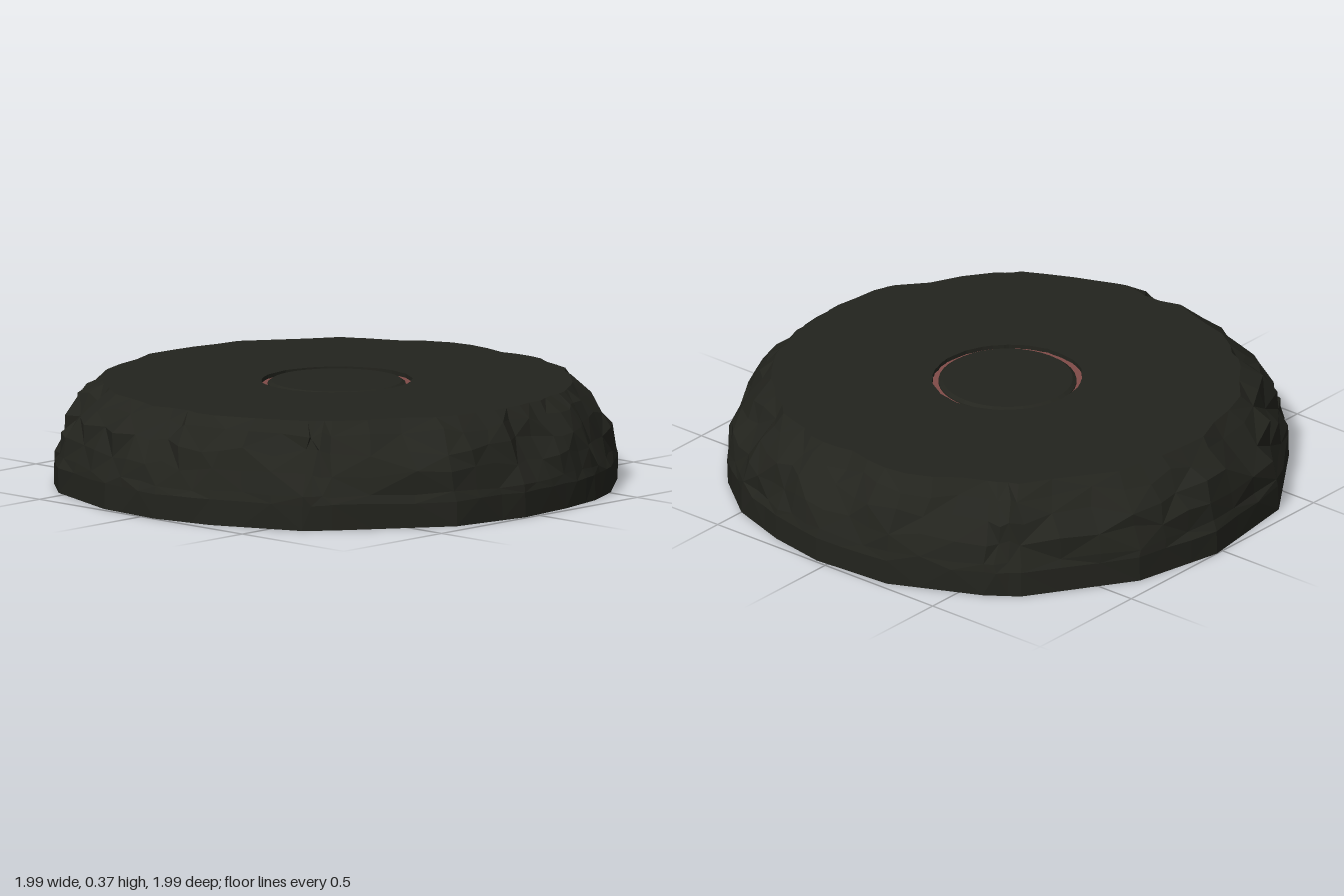
import * as THREE from 'three';

// Rim outline as x, z pairs, going round from the back
const OUTLINE = [
  [0.03, -1], [0.37, -0.93], [0.74, -0.69], [0.82, -0.58], [0.97, -0.26], [0.99, 0.05],
  [0.95, 0.27], [0.87, 0.5], [0.72, 0.69], [0.51, 0.86], [0.36, 0.93], [0.17, 0.97],
  [-0.06, 0.99], [-0.36, 0.94], [-0.73, 0.68], [-0.81, 0.61], [-0.95, 0.29], [-0.995, 0.06],
  [-0.98, -0.2], [-0.86, -0.54], [-0.73, -0.69], [-0.38, -0.94],
];
const STEPS = 3; // columns per outline edge
const TOP = 0.365;

// Rocky wall levels: height, share of the rim radius, roughness
const LEVELS = [
  [0, 1, 0], [0.09, 1, 0.004], [0.12, 0.99, 0.008], [0.19, 0.972, 0.014],
  [0.26, 0.945, 0.018], [0.32, 0.895, 0.016], [TOP, 0.835, 0.01],
];
// Chips knocked out of the wall: angle, height, width, depth
const CHIPS = [
  [0.03, 0.3, 0.13, 0.06], [0.62, 0.27, 0.16, 0.04], [1.1, 0.24, 0.12, 0.035],
  [1.55, 0.25, 0.12, 0.06], [2.1, 0.31, 0.16, 0.04], [2.5, 0.26, 0.18, 0.05],
  [3.12, 0.3, 0.12, 0.05], [3.75, 0.28, 0.15, 0.04], [4.45, 0.3, 0.2, 0.04],
  [5.3, 0.28, 0.15, 0.045], [5.75, 0.3, 0.12, 0.04],
];

function seeded(seed) {
  return () => {
    seed = (seed * 16807) % 2147483647;
    return seed / 2147483647;
  };
}

// Joins closed rings of equal length, starting at the bottom and ending at the top
function skin(rings) {
  const n = rings[0].length;
  const index = [];
  for (let j = 0; j < rings.length - 1; j++) {
    for (let i = 0; i < n; i++) {
      const a = j * n + i, b = j * n + (i + 1) % n, c = a + n, d = b + n;
      if ((i + j) % 2) index.push(a, c, b, b, c, d);
      else index.push(a, c, d, a, d, b);
    }
  }
  const geometry = new THREE.BufferGeometry();
  geometry.setAttribute('position', new THREE.Float32BufferAttribute(rings.flat(2), 3));
  geometry.setIndex(index);
  geometry.computeVertexNormals();
  return geometry;
}

function rockGeometry() {
  const rand = seeded(4271);
  const jitter = (size) => (rand() * 2 - 1) * size;

  // Columns round the rim
  const columns = [];
  OUTLINE.forEach(([x, z], i) => {
    const [nx, nz] = OUTLINE[(i + 1) % OUTLINE.length];
    for (let s = 0; s < STEPS; s++) {
      const px = THREE.MathUtils.lerp(x, nx, s / STEPS);
      const pz = THREE.MathUtils.lerp(z, nz, s / STEPS);
      columns.push({ angle: Math.atan2(pz, px), radius: Math.hypot(px, pz) });
    }
  });
  const ring = (place) => columns.map((column) => {
    const [r, y, angle = column.angle] = place(column);
    return [r * Math.cos(angle), y, r * Math.sin(angle)];
  });

  // Underside, then the chipped wall
  const rings = [ring(() => [0, 0])];
  for (const [height, share, rough] of LEVELS) {
    rings.push(ring(({ angle, radius }) => {
      let r = THREE.MathUtils.lerp(share, share * radius, height === TOP ? 0.4 : 1) + jitter(rough);
      for (const [at, chipY, width, depth] of CHIPS) {
        const turn = Math.atan2(Math.sin(angle - at), Math.cos(angle - at)) / width;
        const rise = (height - chipY) / 0.1;
        r -= depth * Math.max(0, 1 - turn * turn - rise * rise);
      }
      const inside = height > 0 && height < TOP;
      const y = height + (inside ? jitter(rough * 0.9) : 0);
      return [r, y, angle + (inside ? jitter(rough) : 0)];
    }));
  }

  // Flat top, ragged lip and the groove floor
  rings.push(ring(() => [0.8, TOP]));
  rings.push(ring(() => [0.29, TOP]));
  const lip = columns.map(({ angle }) => 0.262 + 0.007 * Math.sin(angle * 2 + 0.8) + jitter(0.003));
  const lipRing = (y) => columns.map(({ angle }, i) => [lip[i] * Math.cos(angle), y, lip[i] * Math.sin(angle)]);
  rings.push(lipRing(TOP), lipRing(0.335));
  rings.push(ring(() => [0, 0.335]));
  return skin(rings);
}

export function createModel() {
  const model = new THREE.Group();
  model.name = 'stoneDisc';
  const stone = new THREE.MeshStandardMaterial({ color: 0x23241e, flatShading: true });
  const red = new THREE.MeshStandardMaterial({ color: 0x804c48 });

  const add = (name, geometry, material) => {
    const mesh = new THREE.Mesh(geometry, material);
    mesh.name = name;
    model.add(mesh);
    return mesh;
  };

  add('rockBase', rockGeometry(), stone);

  // Red band lying in the groove
  const band = add('grooveBand', new THREE.RingGeometry(0.2, 0.275, 48), red);
  band.rotation.x = -Math.PI / 2;
  band.position.y = 0.35;

  // Round plug in the middle, with a bevelled edge
  const profile = [[0.249, 0.335], [0.245, 0.354], [0.232, 0.363], [0, 0.363]];
  add('centrePlug', new THREE.LatheGeometry(profile.map(([r, y]) => new THREE.Vector2(r, y)), 40), stone);

  return model;
}
